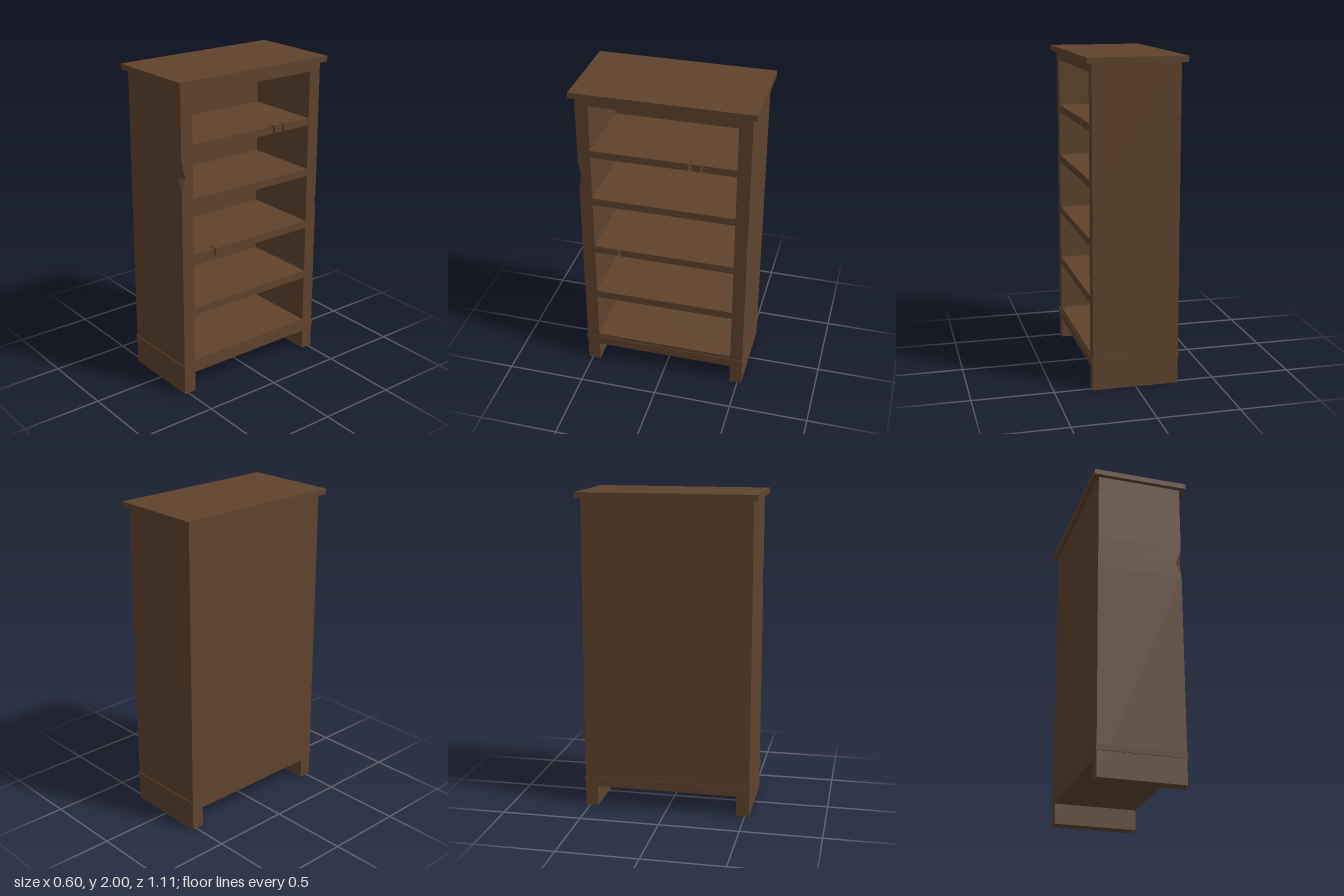
import * as THREE from 'three';

const W = 0.266, D = 0.527, IN = 0.447, BACK = -0.235, TOP = 1.965;
const wood = new THREE.MeshStandardMaterial({ color: 0x5f442d, flatShading: true });

function add(group, name, geo) {
  const mesh = new THREE.Mesh(geo, wood);
  mesh.name = name;
  group.add(mesh);
}

// Box given by its limits on each axis
function block(x0, x1, y0, y1, z0, z1) {
  return new THREE.BoxGeometry(x1 - x0, y1 - y0, z1 - z0)
    .translate((x0 + x1) / 2, (y0 + y1) / 2, (z0 + z1) / 2);
}

// Side panel down to the floor, its front outer corner chipped between three heights
function sidePanel(s, chip) {
  const section = ([y, a, b]) => {
    const p = [[-W, IN], [-W, D], [W - a, D], [W, D - b], [W, IN]]
      .map(([x, z]) => new THREE.Vector3(x, y, s * z));
    return s > 0 ? p : p.reverse();
  };
  const [low, mid, high, a, b] = chip;
  const rows = [[0, 0, 0], [low, 0, 0], [mid, a, b], [high, 0, 0], [TOP, 0, 0]].map(section);
  const pos = [];
  const tri = (p, q, r) => {
    if (p.equals(q) || q.equals(r) || r.equals(p)) return;
    pos.push(...p.toArray(), ...q.toArray(), ...r.toArray());
  };
  for (let i = 0; i < rows.length - 1; i++) {
    for (let j = 0; j < 5; j++) {
      const k = (j + 1) % 5, lo = rows[i], hi = rows[i + 1];
      tri(lo[j], lo[k], hi[k]);
      tri(lo[j], hi[k], hi[j]);
    }
  }
  const bottom = rows[0], top = rows[4];
  for (let j = 1; j < 4; j++) {
    tri(bottom[0], bottom[j + 1], bottom[j]);
    tri(top[0], top[j], top[j + 1]);
  }
  const geo = new THREE.BufferGeometry();
  geo.setAttribute('position', new THREE.Float32BufferAttribute(pos, 3));
  geo.computeVertexNormals();
  return geo;
}

// Shelf board with narrow V-shaped cracks in its front edge
function shelf(y0, y1, cracks) {
  const shape = new THREE.Shape();
  shape.moveTo(BACK, -IN);
  shape.lineTo(W, -IN);
  for (const z of cracks) {
    shape.lineTo(W, -z - 0.007);
    shape.lineTo(W - 0.06, -z);
    shape.lineTo(W, -z + 0.007);
  }
  shape.lineTo(W, IN);
  shape.lineTo(BACK, IN);
  return new THREE.ExtrudeGeometry(shape, { depth: y1 - y0, bevelEnabled: false })
    .rotateX(-Math.PI / 2).translate(0, y0, 0);
}

export function createModel() {
  const model = new THREE.Group();
  model.name = 'bookcase';

  // Carcass, open towards +x
  add(model, 'leftmostSidePanel', sidePanel(1, [1.33, 1.42, 1.53, 0.036, 0.027]));
  add(model, 'oppositeSidePanel', sidePanel(-1, [1.0, 1.055, 1.11, 0.008, 0.012]));
  add(model, 'backPanel', block(-W, BACK, 0.13, TOP, -IN, IN));
  add(model, 'topRail', block(BACK, W, 1.91, TOP, -IN, IN));
  add(model, 'bottomBoard', block(BACK, W, 0.13, 0.215, -IN, IN));

  // Shelves: bottom, top, crack positions along z
  const shelves = [
    [0.525, 0.575, []],
    [0.88, 0.927, [0.287]],
    [1.235, 1.282, []],
    [1.57, 1.616, [-0.165, -0.235]],
  ];
  for (const [y0, y1, cracks] of shelves) {
    // cracks run in order of rising -z
    add(model, 'shelf', shelf(y0, y1, cracks));
  }

  // Overhanging top and thin raised band around the base
  add(model, 'topBoard', block(-0.3, 0.3, TOP, 2, -0.555, 0.555));
  add(model, 'baseBand', block(-W - 0.004, W + 0.004, 0.157, 0.192, -D - 0.005, D + 0.005));

  return model;
}
